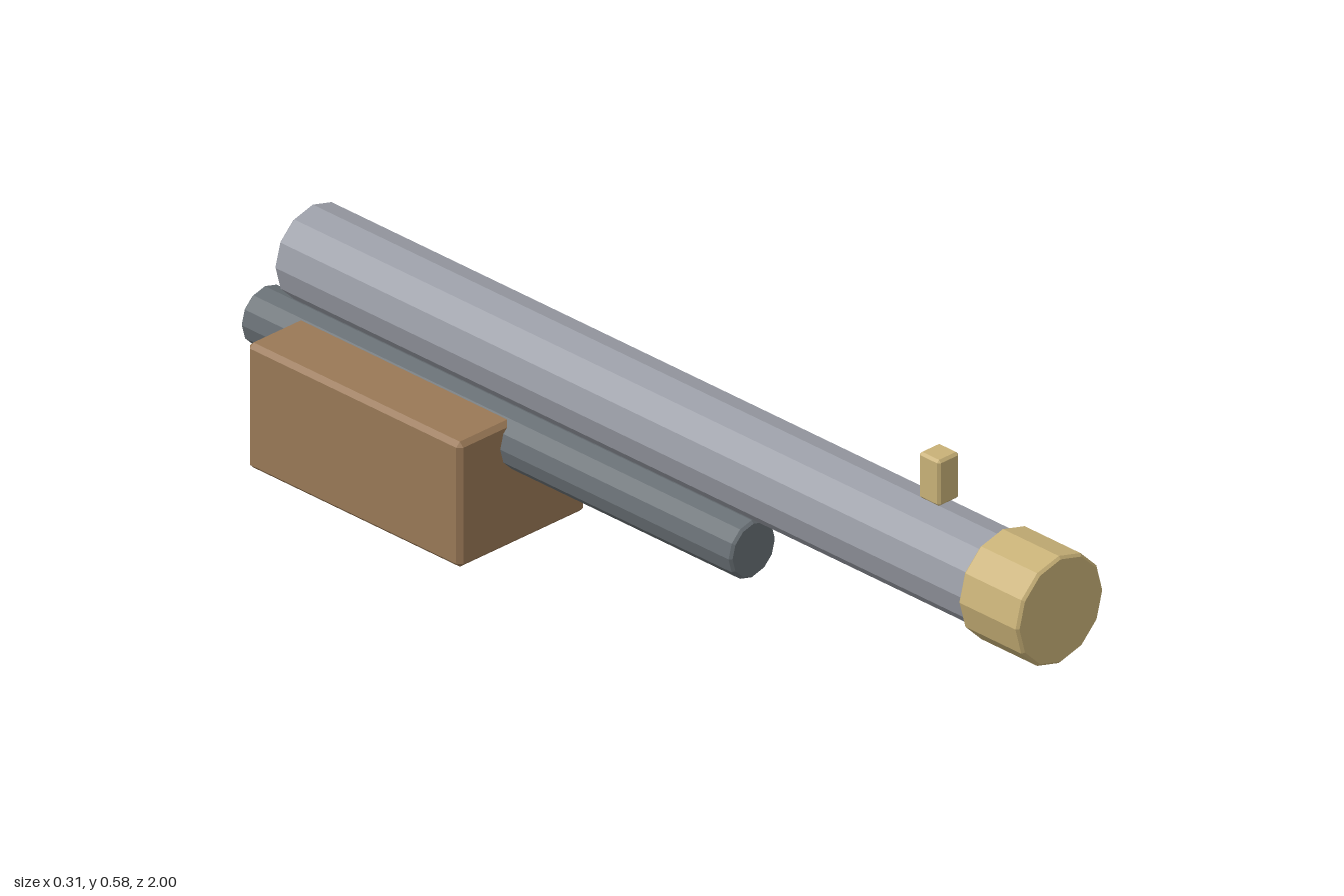
import * as THREE from 'three';
import { ConvexGeometry } from 'three/addons/geometries/ConvexGeometry.js';

const material = (name, color) => {
  const m = new THREE.MeshStandardMaterial({ color });
  m.name = name;
  return m;
};

// Twelve-sided rod along z with bevelled ends and faceted normals
function rod(radius, z0, z1, bevel) {
  const profile = [
    [0, z0], [radius - bevel, z0], [radius, z0 + bevel],
    [radius, z1 - bevel], [radius - bevel, z1], [0, z1],
  ].map(([r, z]) => new THREE.Vector2(r, z));
  const geo = new THREE.LatheGeometry(profile, 12).toNonIndexed();
  geo.rotateX(Math.PI / 2);
  geo.computeVertexNormals();
  return geo;
}

// Box with every edge chamfered
function chamferBox(w, h, d, bevel) {
  const half = [w / 2, h / 2, d / 2];
  const points = [];
  for (const sx of [-1, 1]) for (const sy of [-1, 1]) for (const sz of [-1, 1]) {
    for (let axis = 0; axis < 3; axis++) {
      const p = [sx, sy, sz].map((s, i) => s * (half[i] - (i === axis ? 0 : bevel)));
      points.push(new THREE.Vector3(...p));
    }
  }
  return new ConvexGeometry(points);
}

export function createModel() {
  const model = new THREE.Group();
  const brass = material('brass', 0xc8b177);
  const steel = material('steel', 0x9a9da6);
  const darkSteel = material('dark steel', 0x686f74);
  const wood = material('wood', 0x997856);

  const add = (name, geo, mat, y, z = 0) => {
    const mesh = new THREE.Mesh(geo, mat);
    mesh.name = name;
    mesh.position.set(0, y, z);
    model.add(mesh);
  };

  // Main tube and its front cap
  add('barrel', rod(0.092, -0.88, 0.87, 0.005), steel, 0.377);
  add('muzzleCap', rod(0.107, 0.85, 1, 0.005), brass, 0.377);

  // Small block floating above the tube
  add('frontSight', chamferBox(0.052, 0.092, 0.052, 0.005), brass, 0.531, 0.695);

  // Lower rod running through the grip block
  add('lowerRod', rod(0.057, -1, 0.23, 0.005), darkSteel, 0.203);
  add('gripBlock', chamferBox(0.314, 0.25, 0.535, 0.009), wood, 0.125, -0.615);

  return model;
}
